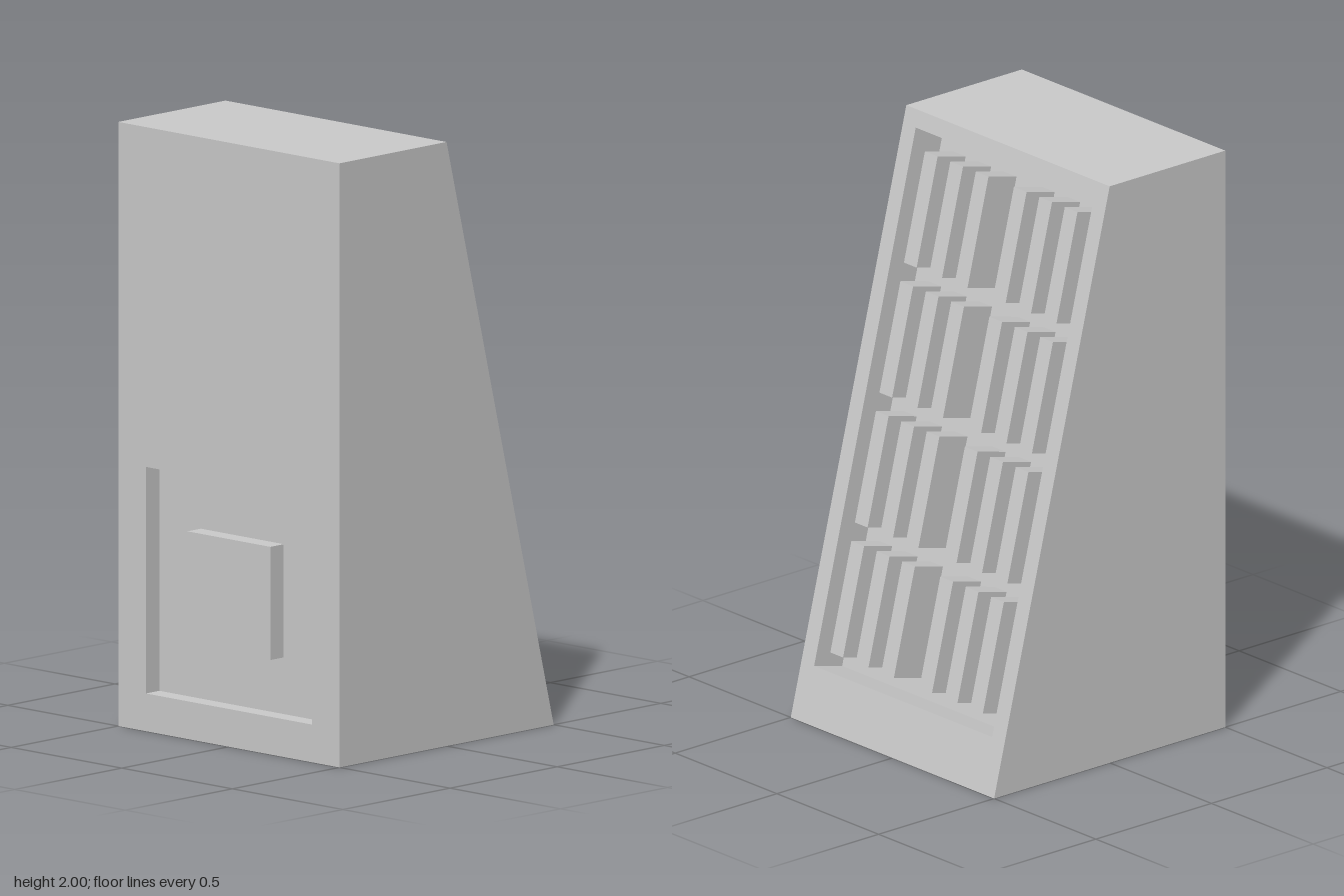
import * as THREE from 'three';

const grey = new THREE.MeshStandardMaterial({ color: 0xcccccc, flatShading: true });

function add(parent, name, geometry, x = 0, y = 0, z = 0, rx = 0, ry = 0) {
  const mesh = new THREE.Mesh(geometry, grey);
  mesh.name = name;
  mesh.position.set(x, y, z);
  mesh.rotation.set(rx, ry, 0);
  parent.add(mesh);
  return mesh;
}

const outline = (points) => points.map(([x, y]) => new THREE.Vector2(x, y));

// Upright panel facing local +z, with a rectangular recess from y0 to y1
function recessedPanel(name, height, halfWidth, y0, y1, depth) {
  const group = new THREE.Group();
  group.name = name;
  const w = halfWidth, h = y1 - y0, mid = (y0 + y1) / 2, q = Math.PI / 2;
  const face = new THREE.Shape(outline([[-0.5, 0], [0.5, 0], [0.5, height], [-0.5, height]]));
  face.holes.push(new THREE.Path(outline([[-w, y0], [-w, y1], [w, y1], [w, y0]])));
  add(group, name + 'Frame', new THREE.ShapeGeometry(face));
  add(group, name + 'RecessFloor', new THREE.PlaneGeometry(2 * w, h), 0, mid, -depth);
  add(group, name + 'RecessBottom', new THREE.PlaneGeometry(2 * w, depth), 0, y0, -depth / 2, -q);
  add(group, name + 'RecessTop', new THREE.PlaneGeometry(2 * w, depth), 0, y1, -depth / 2, q);
  for (const s of [-1, 1]) {
    add(group, name + 'RecessSide', new THREE.PlaneGeometry(depth, h), s * w, mid, -depth / 2, 0, -s * q);
  }
  return group;
}

export function createModel() {
  const model = new THREE.Group();
  model.name = 'slopedCabinet';

  // Trapezoid end walls, top and base
  const profile = new THREE.Shape(outline([[-0.5, 0], [0.5, 0], [0, 2], [-0.5, 2]]));
  add(model, 'endWall', new THREE.ShapeGeometry(profile), 0, 0, 0.5);
  const mirrored = new THREE.Shape(outline([[0.5, 0], [0.5, 2], [0, 2], [-0.5, 0]]));
  add(model, 'endWall', new THREE.ShapeGeometry(mirrored), 0, 0, -0.5, 0, Math.PI);
  add(model, 'top', new THREE.PlaneGeometry(0.5, 1), -0.25, 2, 0, -Math.PI / 2);
  add(model, 'base', new THREE.PlaneGeometry(1, 1), 0, 0, 0, Math.PI / 2);

  // Sloped panel with its tray of slats
  const depth = 0.125;
  const slope = recessedPanel('slopedPanel', Math.hypot(0.5, 2), 0.4375, 0.1905, 2.003, depth);
  slope.position.x = 0.5;
  slope.rotation.set(-Math.atan(0.25), Math.PI / 2, 0, 'YXZ');
  model.add(slope);

  // Four rows of slats, two banks of three, flush with the panel
  const slat = new THREE.BoxGeometry(0.0625, 0.375, depth);
  for (let row = 0; row < 4; row++) {
    for (let col = 0; col < 3; col++) {
      for (const s of [-1, 1]) {
        add(slope, 'slat', slat, s * (0.09375 + 0.125 * col), 0.4405 + 0.4375 * row, -depth / 2);
      }
    }
  }

  // Upright panel with a square recess and a raised block
  const upright = recessedPanel('uprightPanel', 2, 0.375, 0.125, 0.875, 0.0625);
  upright.position.x = -0.5;
  upright.rotation.y = -Math.PI / 2;
  add(upright, 'raisedBlock', new THREE.BoxGeometry(0.375, 0.375, 0.0625), 0, 0.5, -0.03125);
  model.add(upright);

  return model;
}
